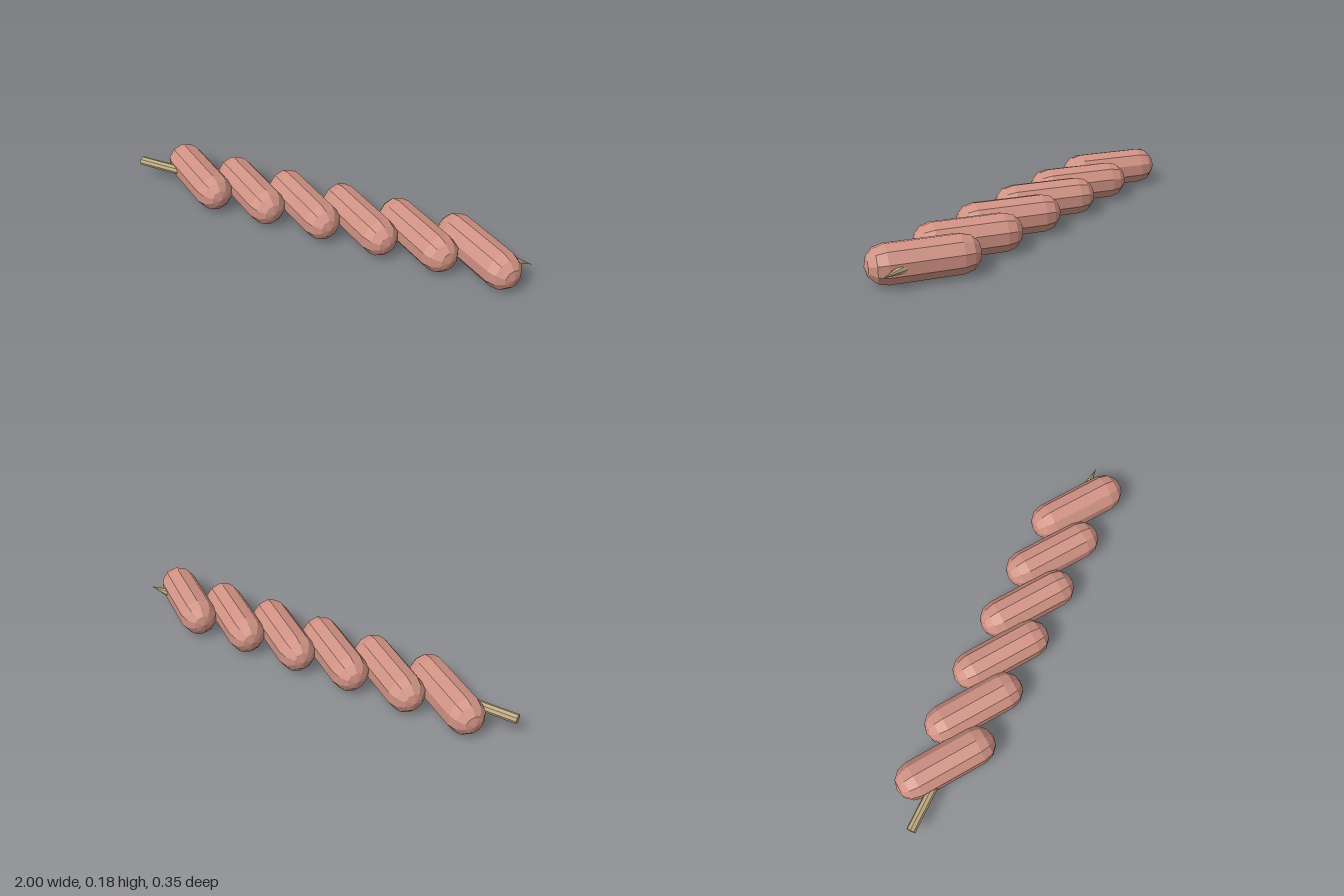
import * as THREE from 'three';

export function createModel() {
  const group = new THREE.Group();
  const meat = new THREE.MeshStandardMaterial({ color: 0xd09284, flatShading: true });
  meat.name = 'sausage pink';
  const wood = new THREE.MeshStandardMaterial({ color: 0xbfab82, flatShading: true });
  wood.name = 'skewer wood';
  const midY = 0.089;

  function add(name, geometry, material, x) {
    const mesh = new THREE.Mesh(geometry, material);
    mesh.name = name;
    mesh.position.set(x, midY, 0);
    group.add(mesh);
  }

  // Row of slanted sausages, ten-sided with three-step round ends
  const sausage = new THREE.CapsuleGeometry(0.089, 0.315, 3, 10);
  sausage.rotateZ(-Math.PI / 2).rotateY(-0.6);
  for (let i = 0; i < 6; i++) add('sausage' + (i + 1), sausage, meat, -0.664 + i * 0.285);

  // Skewer running through the row, with a pointed tip
  const stickEnd = 0.88;
  const stick = new THREE.CylinderGeometry(0.022, 0.022, 1 + stickEnd, 8);
  stick.rotateZ(-Math.PI / 2);
  add('skewerStick', stick, wood, (stickEnd - 1) / 2);

  const tip = new THREE.ConeGeometry(0.022, 1 - stickEnd, 8);
  tip.rotateZ(-Math.PI / 2);
  add('skewerTip', tip, wood, (stickEnd + 1) / 2);

  return group;
}
